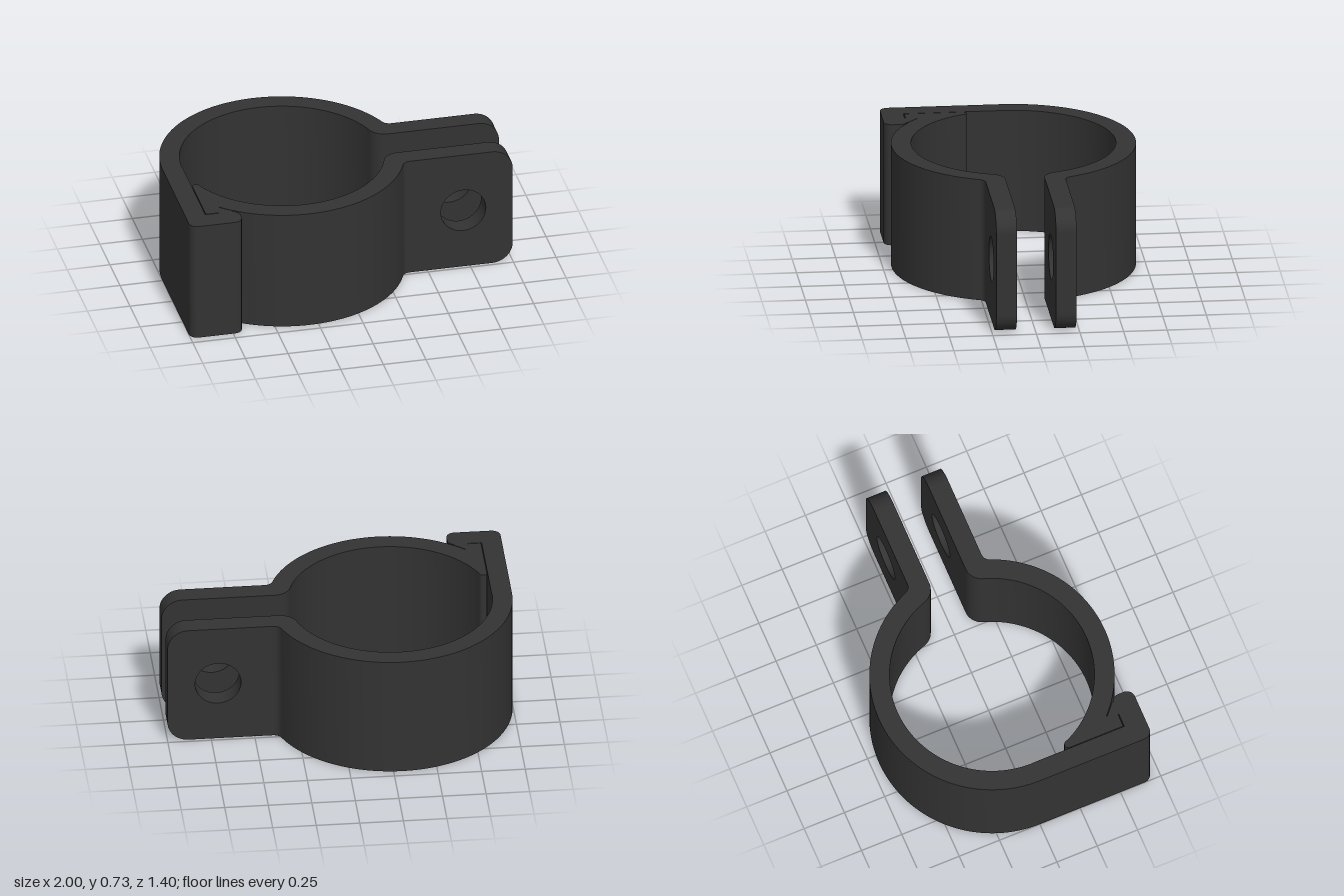
import * as THREE from 'three';
import { toCreasedNormals } from 'three/addons/utils/BufferGeometryUtils.js';

const H = 0.725;              // clamp height
const CX = -0.3;              // ring centre in x
const RO = 0.7, RI = 0.585;   // ring radii
const Z0 = 0.112, Z1 = 0.23;  // flange inner and outer faces
const FX = 0.4;               // where the flat flange begins
const rad = THREE.MathUtils.degToRad;

const material = new THREE.MeshStandardMaterial({ color: 0x333333 });

// Points of an arc in plan (x, z), angles in degrees
function arc(cx, cz, r, a0, a1, n) {
  return Array.from({ length: n + 1 }, (_, i) => {
    const a = rad(a0 + ((a1 - a0) * i) / n);
    return [cx + r * Math.cos(a), cz + r * Math.sin(a)];
  });
}

function extrude(shape, depth) {
  const g = new THREE.ExtrudeGeometry(shape, { depth, bevelEnabled: false, curveSegments: 24 });
  return toCreasedNormals(g, 0.45);
}

// Half band: fillet, outer arc, closing end, inner arc, rolled inner edge
function bandHalf(name, side, outerEnd, innerEnd, endPoints) {
  const fr = 0.05, rr = 0.1;
  const fz = Z1 + fr, fdx = Math.sqrt((RO + fr) ** 2 - fz ** 2);
  const rz = Z0 + rr, rdx = Math.sqrt((RI + rr) ** 2 - rz ** 2);
  const fa = THREE.MathUtils.radToDeg(Math.atan2(fz, fdx));
  const ra = THREE.MathUtils.radToDeg(Math.atan2(rz, rdx));
  const flip = ([x, z]) => [x, z * side];
  const pts = [
    [FX, Z1 * side],
    ...arc(CX + fdx, fz, fr, 270, 180 + fa, 8).map(flip),
    ...arc(CX, 0, RO, fa, outerEnd, 64).map(flip),
    ...endPoints,
    ...arc(CX, 0, RI, innerEnd, ra, 64).map(flip),
    ...arc(CX + rdx, rz, rr, 180 + ra, 270, 10).map(flip),
    [FX, Z0 * side],
  ];
  const shape = new THREE.Shape(pts.map(([x, z]) => new THREE.Vector2(x, z)));
  const g = extrude(shape, H).rotateX(Math.PI / 2).translate(0, H, 0);
  const mesh = new THREE.Mesh(g, material);
  mesh.name = name;
  return mesh;
}

// Flat bolt lug with rounded outer corners and a bolt hole
function flange(name, side) {
  const r = 0.12;
  const s = new THREE.Shape();
  s.moveTo(FX, 0);
  s.lineTo(1 - r, 0);
  s.absarc(1 - r, r, r, -Math.PI / 2, 0, false);
  s.lineTo(1, H - r);
  s.absarc(1 - r, H - r, r, 0, Math.PI / 2, false);
  s.lineTo(FX, H);
  s.closePath();
  const hole = new THREE.Path();
  hole.absarc(0.71, 0.365, 0.132, 0, Math.PI * 2, true);
  s.holes.push(hole);
  const g = extrude(s, Z1 - Z0).translate(0, 0, side > 0 ? Z0 : -Z1);
  const mesh = new THREE.Mesh(g, material);
  mesh.name = name;
  return mesh;
}

export function createModel() {
  const group = new THREE.Group();
  group.name = 'hingedPipeClamp';

  // Straight leg and hooked catch at the end of the back half
  const catchEnd = [
    ...arc(-0.95, 0.65, 0.05, 180, 90, 8),
    ...arc(-0.74, 0.65, 0.05, 90, 0, 8),
    ...arc(-0.735, 0.615, 0.045, 0, -70, 6),
    ...arc(CX, 0, RO + 0.004, 127.5, 134, 4),
    [-0.803, 0.51],
    [-0.803, 0.573],
    [-0.884, 0.573],
    [-0.884, 0.02],
  ];
  // Prong seated in the catch, with a rounded tip against the leg
  const prongEnd = [
    [-0.799, 0.51],
    [-0.799, 0.568],
    [-0.88, 0.568],
    ...arc(-0.858, 0.235, 0.022, 180, 335, 8),
  ];

  group.add(
    bandHalf('backBand', -1, 180, 180, catchEnd),
    bandHalf('frontBand', 1, 134, 155, prongEnd),
    flange('backFlange', -1),
    flange('frontFlange', 1),
  );
  return group;
}
